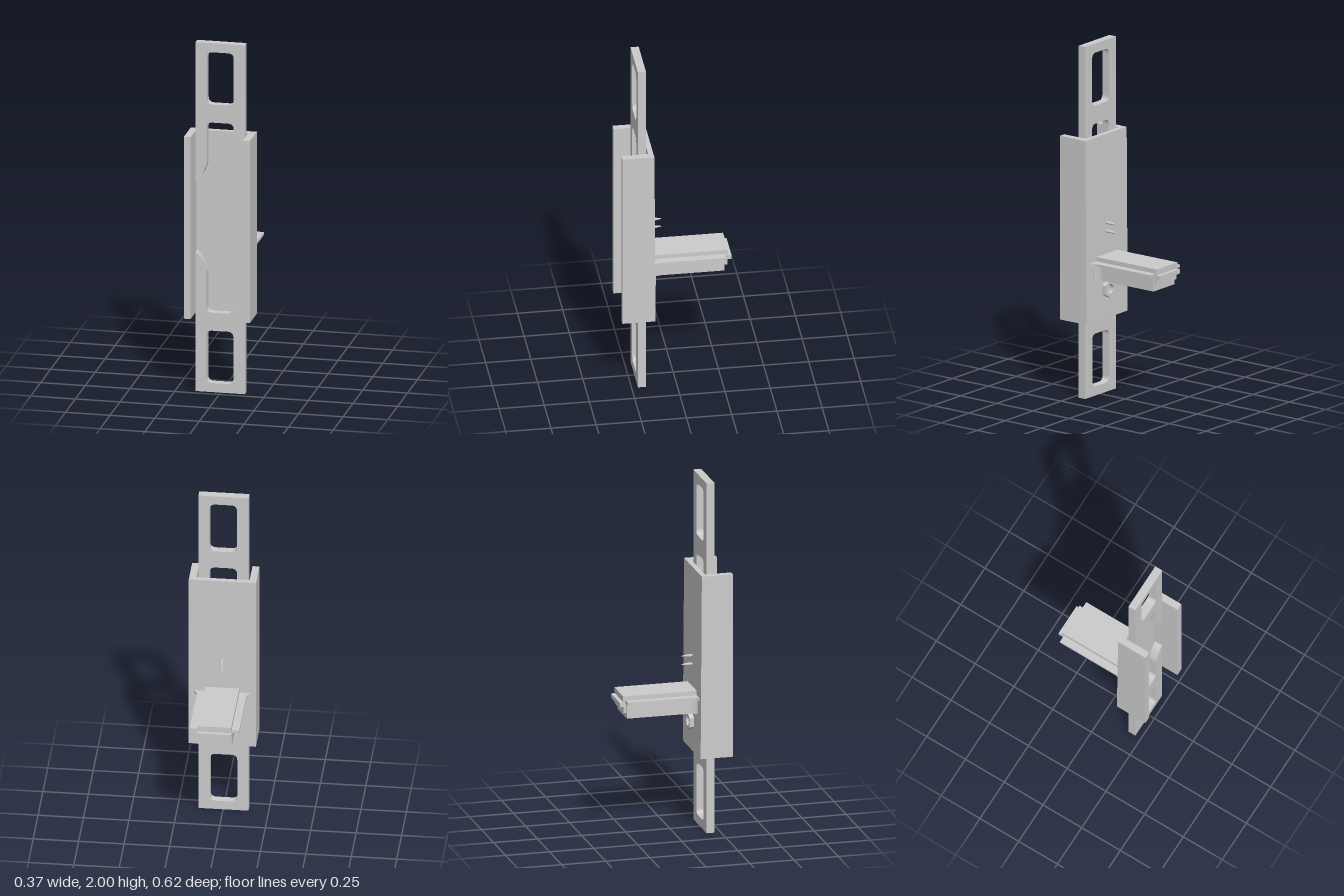
import * as THREE from 'three';

const grey = new THREE.MeshStandardMaterial({ color: 0xcccccc, flatShading: true });

function add(group, name, geometry) {
  const mesh = new THREE.Mesh(geometry, grey);
  mesh.name = name;
  group.add(mesh);
  return mesh;
}

const polygon = (points) => new THREE.Shape(points.map(([x, y]) => new THREE.Vector2(x, y)));

// Extrudes a plan drawn in x and z between two heights.
function slab(shape, y0, y1) {
  const g = new THREE.ExtrudeGeometry(shape, { depth: y1 - y0, bevelEnabled: false, curveSegments: 6 });
  return g.rotateX(Math.PI / 2).translate(0, y1, 0);
}

function box(x0, x1, y0, y1, z0, z1) {
  return new THREE.BoxGeometry(x1 - x0, y1 - y0, z1 - z0)
    .translate((x0 + x1) / 2, (y0 + y1) / 2, (z0 + z1) / 2);
}

// Plan of an arm layer whose root flares out where it meets the housing.
function armPlan(half, end, flare) {
  const s = new THREE.Shape();
  s.moveTo(-half, end);
  s.lineTo(half, end);
  s.lineTo(half, 0.085);
  s.quadraticCurveTo(half + flare * 0.25, 0.11, half + flare, 0.123);
  s.lineTo(half + flare, 0.14);
  s.lineTo(-half - flare, 0.14);
  s.lineTo(-half - flare, 0.123);
  s.quadraticCurveTo(-half - flare * 0.25, 0.11, -half, 0.085);
  s.closePath();
  return s;
}

// Lower strap: closed rounded window, then a forked slot with splayed tips.
function strapGeometry() {
  const l = -0.14, r = 0.136, hl = -0.078, hr = 0.072, c = 0.032;
  const s = new THREE.Shape();
  s.moveTo(l, 0);
  s.lineTo(r, 0);
  s.lineTo(r, 0.8);
  s.bezierCurveTo(0.105, 0.775, 0.09, 0.75, hr, 0.69);
  s.lineTo(hr, 0.455 + c);
  s.quadraticCurveTo(hr, 0.455, hr - c, 0.455);
  s.lineTo(hl + c, 0.455);
  s.quadraticCurveTo(hl, 0.455, hl, 0.455 + c);
  s.lineTo(hl, 0.69);
  s.bezierCurveTo(-0.095, 0.75, -0.11, 0.775, l, 0.8);
  s.closePath();

  const b = 0.052, t = 0.352;
  const h = new THREE.Path();
  h.moveTo(hl + c, b);
  h.lineTo(hr - c, b);
  h.quadraticCurveTo(hr, b, hr, b + c);
  h.lineTo(hr, t - c);
  h.quadraticCurveTo(hr, t, hr - c, t);
  h.lineTo(hl + c, t);
  h.quadraticCurveTo(hl, t, hl, t - c);
  h.lineTo(hl, b + c);
  h.quadraticCurveTo(hl, b, hl + c, b);
  s.holes.push(h);
  return new THREE.ExtrudeGeometry(s, { depth: 0.045, bevelEnabled: false, curveSegments: 6 })
    .translate(0, 0, 0.17);
}

export function createModel() {
  const model = new THREE.Group();
  model.name = 'mountingBracket';

  // Channel housing, open to the front, with a slightly sloping back face
  const channel = slab(polygon([
    [-0.185, 0.127], [0.185, 0.127], [0.185, 0.308], [0.145, 0.308],
    [0.145, 0.16], [-0.147, 0.16], [-0.147, 0.308], [-0.185, 0.308],
  ]), 0.44, 1.483);
  const p = channel.attributes.position;
  for (let i = 0; i < p.count; i++) {
    if (p.getZ(i) < 0.14) p.setZ(i, p.getY(i) > 1 ? 0.131 : 0.124);
  }
  channel.computeVertexNormals();
  add(model, 'housing', channel);

  // Two slotted straps, one the mirror of the other (turned half round about z)
  add(model, 'lowerStrap', strapGeometry());
  const upper = strapGeometry().rotateZ(Math.PI).translate(-0.004, 2, 0);
  add(model, 'upperStrap', upper);

  // Arm with side flanges, raised top and stepped end
  const arm = new THREE.Group();
  arm.name = 'arm';
  add(arm, 'armBody', slab(armPlan(0.095, -0.27, 0.015), 0.677, 0.766));
  add(arm, 'armFlange', slab(armPlan(0.136, -0.275, 0.02), 0.765, 0.78));
  add(arm, 'armTop', box(-0.094, 0.092, 0.78, 0.805, -0.29, 0.14));
  add(arm, 'armEnd', box(-0.09, 0.088, 0.71, 0.781, -0.287, -0.26));
  add(arm, 'armEndLip', box(-0.094, 0.092, 0.745, 0.77, -0.309, -0.28));
  model.add(arm);

  // Two small pointed pins above the arm
  for (const y of [0.932, 0.98]) {
    const profile = [[0, 0.075], [0.004, 0.062], [0.007, 0.045], [0.008, 0.025], [0.008, 0]]
      .map(([r, h]) => new THREE.Vector2(r, h)).reverse();
    add(model, 'pin', new THREE.LatheGeometry(profile, 10)
      .rotateX(-Math.PI / 2).translate(0, y, 0.137));
  }

  // Ring-shaped nut below the arm
  const nut = new THREE.Shape();
  for (let i = 0; i < 6; i++) {
    const a = (i + 0.5) * Math.PI / 3;
    nut[i ? 'lineTo' : 'moveTo'](0.05 * Math.cos(a), 0.05 * Math.sin(a));
  }
  nut.closePath();
  const bore = new THREE.Path();
  bore.absarc(0, 0, 0.027, 0, Math.PI * 2, true);
  nut.holes.push(bore);
  add(model, 'nut', new THREE.ExtrudeGeometry(nut, { depth: 0.035, bevelEnabled: false, curveSegments: 12 })
    .translate(0, 0.608, 0.1));

  return model;
}
